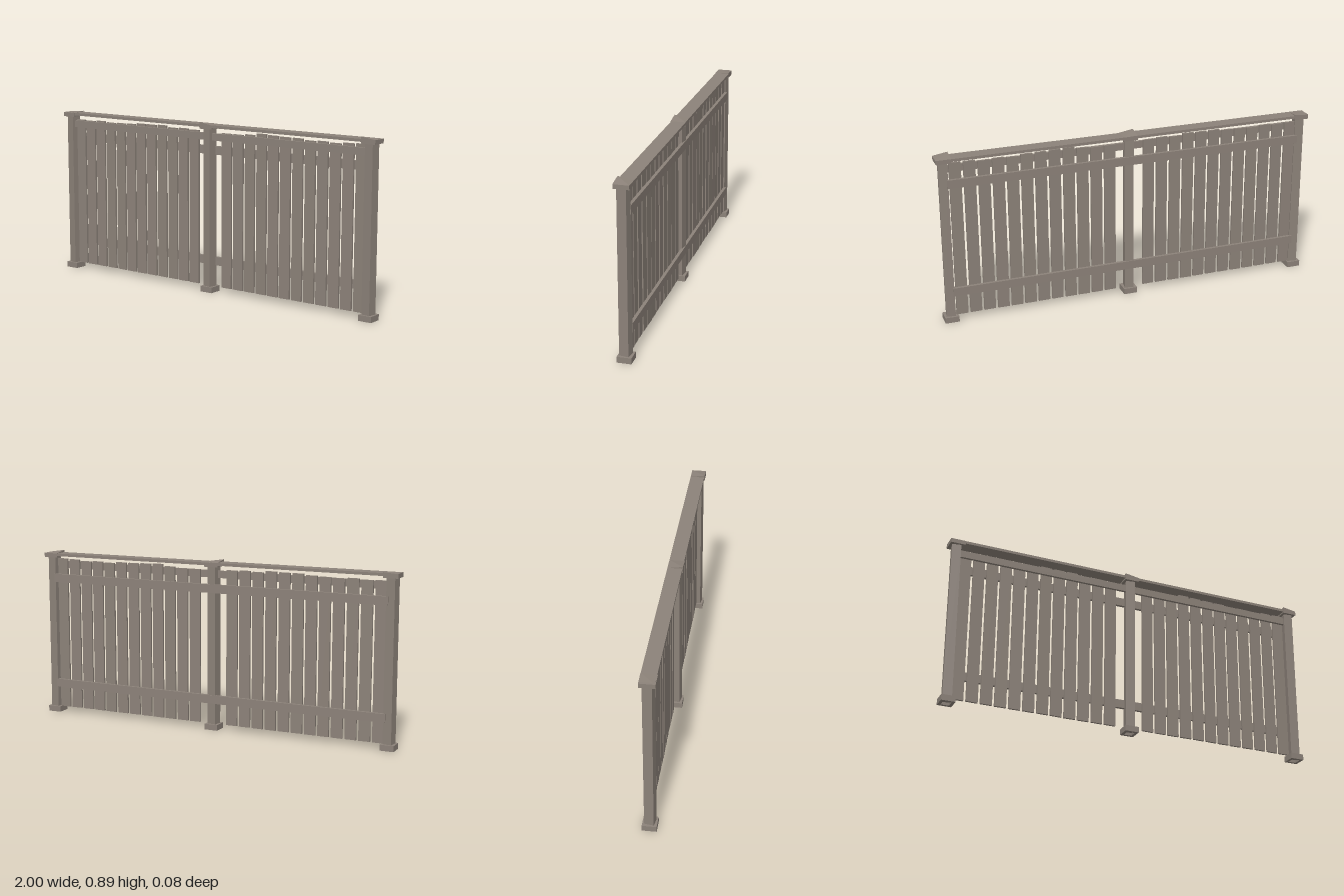
import * as THREE from 'three';

export function createModel() {
  const root = new THREE.Group();
  const wood = new THREE.MeshStandardMaterial({ color: 0x8c8279 });
  wood.name = 'weatheredWood';

  const add = (name, geometry, x = 0, y = 0, z = 0, yaw = 0) => {
    const mesh = new THREE.Mesh(geometry, wood);
    mesh.name = name;
    mesh.position.set(x, y, z);
    mesh.rotation.y = yaw;
    root.add(mesh);
    return mesh;
  };
  // Box given by its limits
  const slab = (name, x0, x1, y0, y1, z0, z1, yaw = 0) =>
    add(name, new THREE.BoxGeometry(x1 - x0, y1 - y0, z1 - z0),
      (x0 + x1) / 2, (y0 + y1) / 2, (z0 + z1) / 2, yaw);

  // Square foot collar, open in the middle
  const square = (path, r) => path.moveTo(-r, -r).lineTo(r, -r).lineTo(r, r).lineTo(-r, r).closePath();
  const footShape = square(new THREE.Shape(), 0.036);
  footShape.holes.push(square(new THREE.Path(), 0.021));
  const footGeometry = new THREE.ExtrudeGeometry(footShape, { depth: 0.03, bevelEnabled: false });
  footGeometry.rotateX(-Math.PI / 2);

  // Post cap: a block with one warped corner
  const capGeometry = (sx, sz, lift) => {
    const g = new THREE.BoxGeometry(0.076, 0.022, 0.078).toNonIndexed();
    const p = g.attributes.position;
    for (let i = 0; i < p.count; i++) {
      if (p.getY(i) > 0 && p.getX(i) * sx > 0 && p.getZ(i) * sz > 0) p.setY(i, p.getY(i) + lift);
    }
    g.computeVertexNormals();
    return g;
  };

  // Posts, each turned slightly, with foot and cap
  const posts = [
    { name: 'right', x: -0.96, sx: 1, sz: -1, lift: 0.006, yaw: -0.17 },
    { name: 'middle', x: -0.002, sx: -1, sz: 1, lift: 0.012, yaw: -0.17 },
    { name: 'left', x: 0.958, sx: -1, sz: 1, lift: 0.012, yaw: -0.15 },
  ];
  for (const { name, x, sx, sz, lift, yaw } of posts) {
    add(name + 'Post', new THREE.BoxGeometry(0.047, 0.848, 0.048), x, 0.439, 0.001, yaw);
    add(name + 'Foot', footGeometry, x, 0, 0);
    add(name + 'PostCap', capGeometry(sx, sz, lift), x, 0.868, 0);
  }

  // Pickets of slightly uneven height, depth and yaw
  const tops = [
    [0.84, 0.838, 0.842, 0.838, 0.84, 0.842, 0.848, 0.848, 0.85, 0.842, 0.845, 0.842],
    [0.838, 0.838, 0.843, 0.853, 0.85, 0.848, 0.848, 0.842, 0.845, 0.842, 0.848, 0.85],
  ];
  [-0.936, 0.072].forEach((start, panel) => {
    tops[panel].forEach((top, i) => {
      const x = start + i * 0.0725;
      const wobble = Math.sin(i * 1.3 + panel * 2);
      slab('picket', x, x + 0.06, 0.03, top, -0.012 + wobble * 0.001, -0.001 + wobble * 0.001, wobble * 0.03);
    });
  });

  // Front trim rails and top boards, one per panel
  slab('frontRail', -0.94, -0.02, 0.798, 0.835, 0, 0.014);
  slab('frontRail', 0.02, 0.94, 0.798, 0.835, 0, 0.014);
  slab('topBoard', -0.998, 0, 0.866, 0.88, -0.039, 0.036);
  slab('topBoard', 0, 0.998, 0.865, 0.879, -0.039, 0.036);

  // Long back rails running across the middle post
  for (const y of [0.14, 0.722]) slab('backRail', -0.945, 0.945, y, y + 0.044, -0.028, -0.012);

  return root;
}
